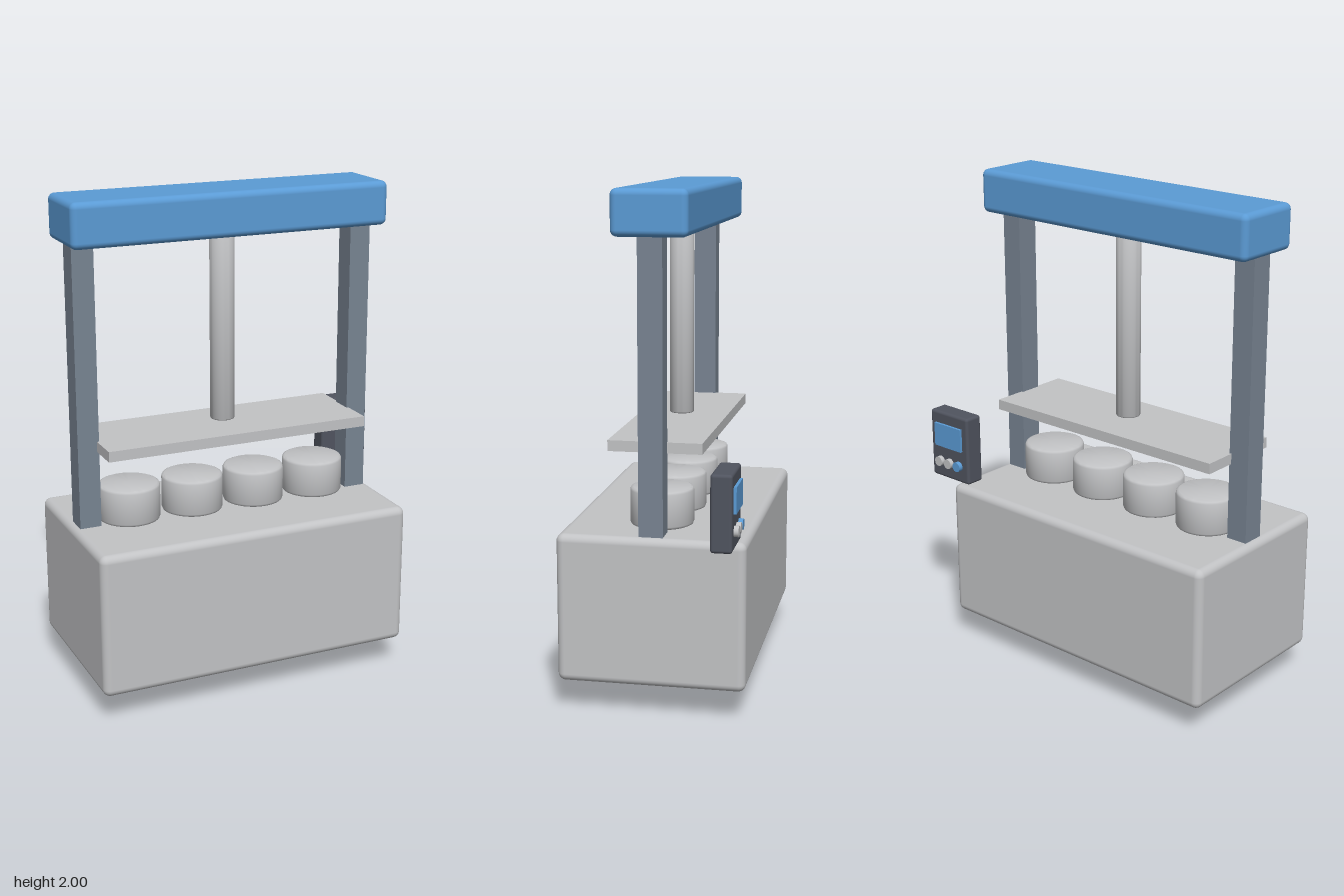
import * as THREE from 'three';
import { RoundedBoxGeometry } from 'three/addons/geometries/RoundedBoxGeometry.js';
import { toCreasedNormals } from 'three/addons/utils/BufferGeometryUtils.js';

const material = (name, color) => {
  const m = new THREE.MeshStandardMaterial({ color });
  m.name = name;
  return m;
};

export function createModel() {
  const model = new THREE.Group();
  model.name = 'pressMachine';

  const lightGrey = material('light grey', 0xc2c3c5);
  const slate = material('slate', 0x788492);
  const charcoal = material('charcoal', 0x50545f);
  const blue = material('blue', 0x5b9bd5);

  const centreX = -0.075;

  const add = (name, geometry, mat, x, y, z, parent = model) => {
    const mesh = new THREE.Mesh(geometry, mat);
    mesh.name = name;
    mesh.position.set(x, y, z);
    parent.add(mesh);
    return mesh;
  };

  // Upright cylinder with softened rims, standing on its own y = 0
  const softCylinder = (r, h, b) => {
    const profile = [[0, 0], [r - b, 0], [r - b * 0.3, b * 0.3], [r, b],
      [r, h - b], [r - b * 0.3, h - b * 0.3], [r - b, h], [0, h]];
    const lathe = new THREE.LatheGeometry(profile.map(([x, y]) => new THREE.Vector2(x, y)), 40);
    return toCreasedNormals(lathe, 0.9);
  };

  // Base tank and top beam
  add('base', new RoundedBoxGeometry(1.31, 0.585, 0.73, 4, 0.03), lightGrey, centreX, 0.4125, 0);
  add('topBeam', new RoundedBoxGeometry(1.31, 0.175, 0.29, 4, 0.025), blue, centreX, 1.9125, 0);

  // Side posts
  for (const side of [-1, 1]) {
    add(side < 0 ? 'rightPost' : 'leftPost', new THREE.BoxGeometry(0.087, 1.14, 0.094), slate,
      centreX + side * 0.585, 1.265, 0);
  }

  // Piston and pressing plate
  add('piston', softCylinder(0.049, 0.77, 0.004), lightGrey, centreX, 1.07, 0);
  add('pressPlate', new THREE.BoxGeometry(1.1, 0.042, 0.365), lightGrey, centreX, 1.034, 0);

  // Row of moulds
  for (let i = 0; i < 4; i++) {
    add('mould' + (i + 1), softCylinder(0.124, 0.149, 0.012), lightGrey,
      centreX + (i - 1.5) * 0.271, 0.705, 0);
  }

  // Drain valve under the base
  const drain = new THREE.Group();
  drain.name = 'drain';
  drain.position.x = centreX;
  model.add(drain);
  add('drainBowl', new THREE.SphereGeometry(0.064, 32, 12, 0, Math.PI * 2, Math.PI / 2, Math.PI / 2),
    slate, 0, 0.123, 0, drain);
  add('drainPipe', new THREE.CylinderGeometry(0.021, 0.021, 0.075, 24), slate, 0, 0.0375, 0, drain);

  // Control panel, facing the back
  const panel = new THREE.Group();
  panel.name = 'controlPanel';
  panel.position.set(0.62, 0.852, -0.295);
  model.add(panel);
  add('panelCase', new RoundedBoxGeometry(0.216, 0.293, 0.082, 3, 0.012), charcoal, 0, 0, 0, panel);
  add('screen', new THREE.BoxGeometry(0.152, 0.1, 0.012), blue, 0, 0.046, -0.046, panel);
  for (let i = -1; i <= 1; i++) {
    const button = add('button' + (i + 2), new THREE.CylinderGeometry(0.021, 0.021, 0.022, 24),
      i < 0 ? blue : lightGrey, i * 0.053, -0.073, -0.048, panel);
    button.rotation.x = Math.PI / 2;
  }

  return model;
}
